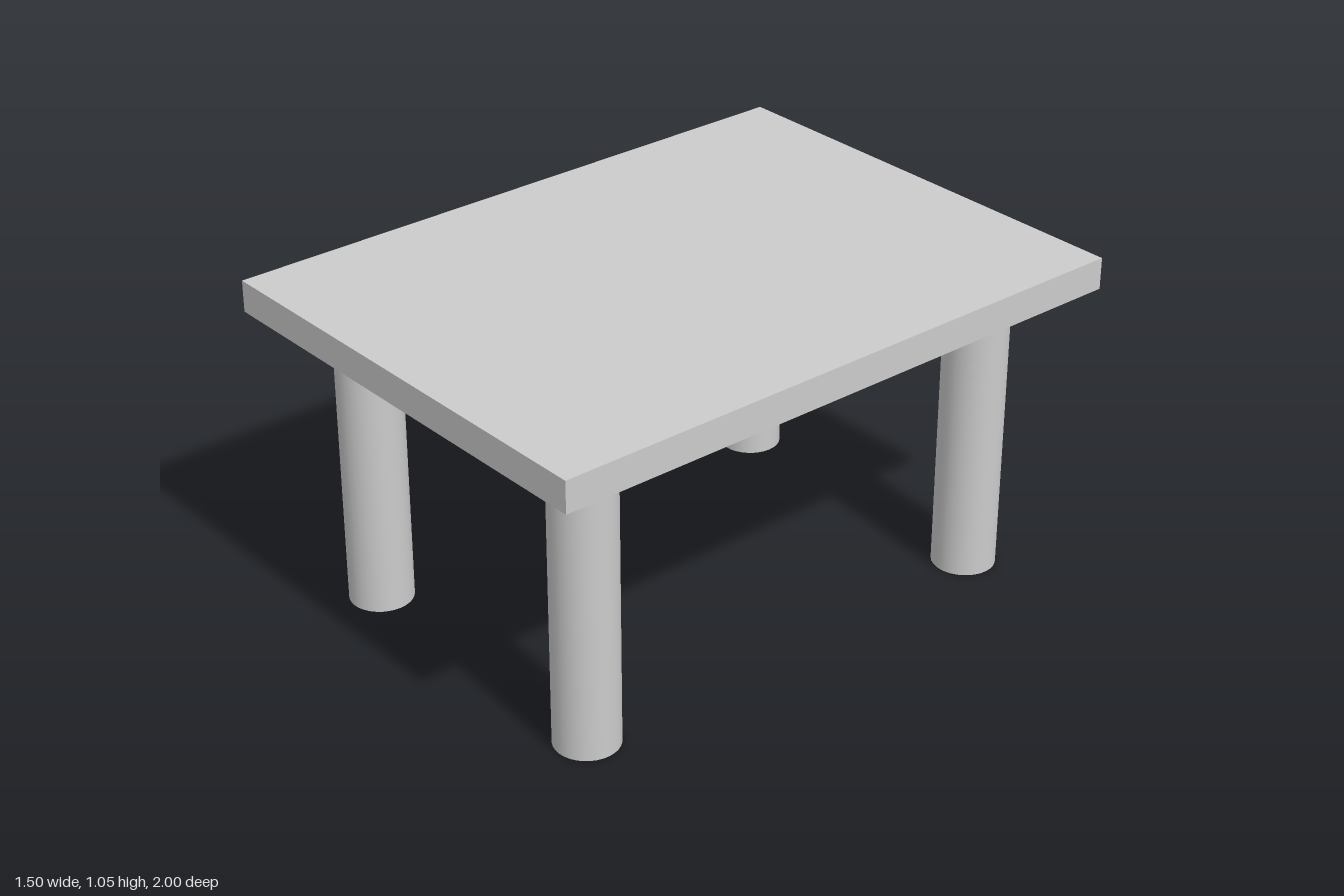
import * as THREE from 'three';

export function createModel() {
  const model = new THREE.Group();
  model.name = 'table';
  const material = new THREE.MeshStandardMaterial({ color: 0xcccccc });

  const topThickness = 0.1;
  const legHeight = 0.95;
  const legRadius = 0.1;

  // Flat rectangular slab
  const top = new THREE.Mesh(new THREE.BoxGeometry(1.5, topThickness, 2), material);
  top.name = 'tableTop';
  top.position.y = legHeight + topThickness / 2;
  model.add(top);

  // Four round legs, set in from the corners
  const legGeometry = new THREE.CylinderGeometry(legRadius, legRadius, legHeight, 32);
  for (const [endName, z] of [['front', 0.75], ['back', -0.75]]) {
    for (const [sideName, x] of [['Left', 0.5], ['Right', -0.5]]) {
      const leg = new THREE.Mesh(legGeometry, material);
      leg.name = `${endName}${sideName}Leg`;
      leg.position.set(x, legHeight / 2, z);
      model.add(leg);
    }
  }

  return model;
}
